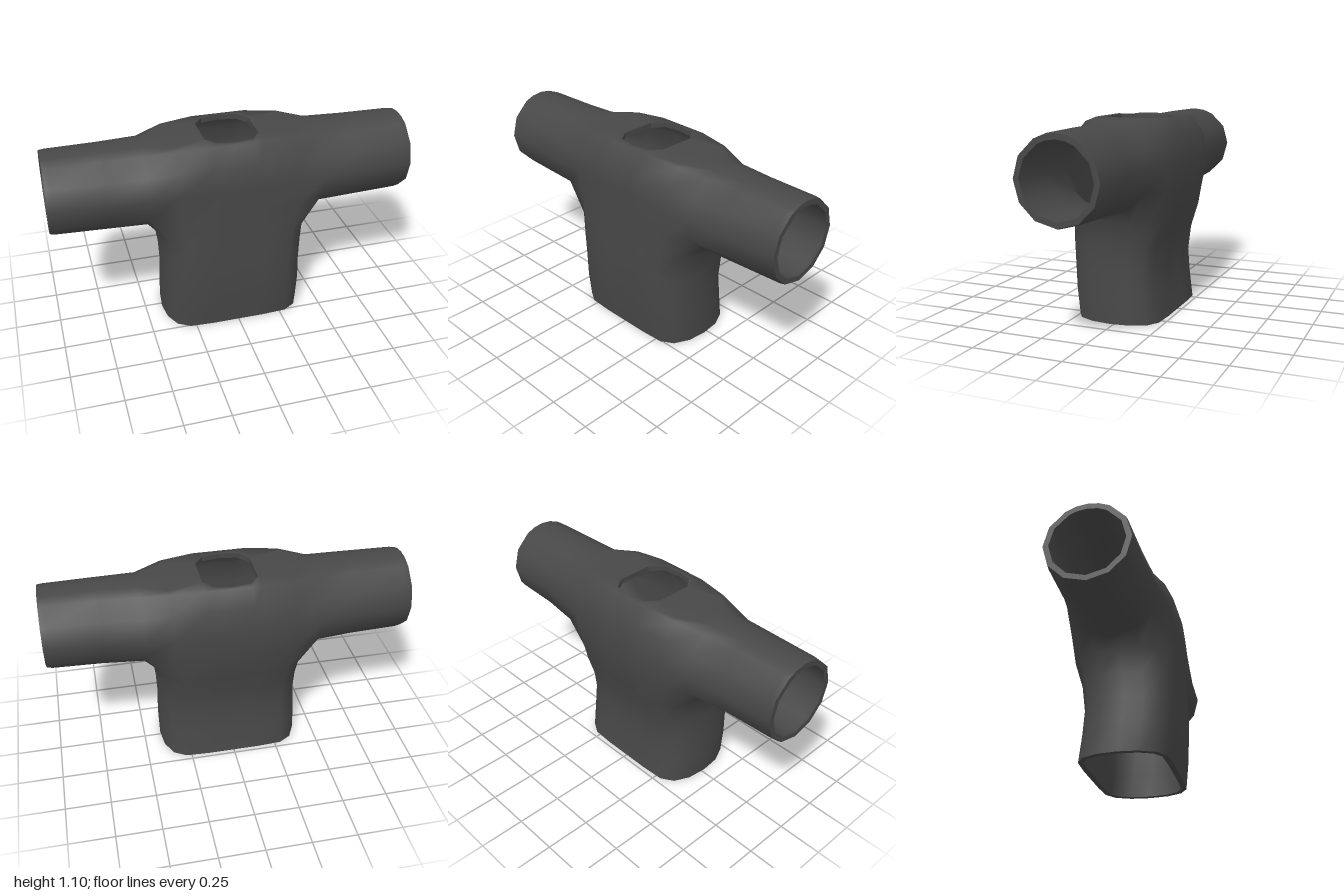
import * as THREE from 'three';
import { mergeVertices } from 'three/addons/utils/BufferGeometryUtils.js';

const THICKNESS = 0.03;
const COLUMNS = [-1, -0.97, -0.7, -0.48, -0.33, -0.15, -0.1, 0, 0.1, 0.15, 0.33, 0.48, 0.7, 0.97, 1];
const BODY_FIRST = 3, BODY_LAST = 11; // columns where the sleeves meet the body
// angles around a sleeve: front underarm, over the top, back underarm, underside
const ANGLES = [-30, 0, 30, 60, 75, 90, 105, 120, 150, 180, 210, 240, 270, 300];
const OVER = 10; // last row of the part that runs over the shoulders

// sleeve sections: bottom, top, front z, back z
const SLEEVE = {
  1: [0.64, 1.083, 0.24, -0.21],
  0.97: [0.633, 1.087, 0.243, -0.213],
  0.7: [0.625, 1.09, 0.252, -0.22],
  0.48: [0.62, 1.09, 0.27, -0.25],
};
// shoulder section through the middle, [z, y] for each row up to OVER
const MIDDLE = [[0.288, 0.71], [0.286, 0.87], [0.284, 1.0], [0.21, 1.098], [0.18, 1.097], [0, 1.097],
  [-0.18, 1.097], [-0.2, 1.098], [-0.265, 1.01], [-0.29, 0.86], [-0.275, 0.7]];
const BLEND = { 0.33: 0.7, 0.15: 1, 0.1: 1, 0: 1 };
const NECK_Z = { 0.15: 0.1, 0.1: 0.165, 0: 0.18 };

// torso sections from the hem up: y, half width, front z, back z
const TORSO = [[0, 0.405, 0.265, -0.225], [0.15, 0.408, 0.28, -0.205], [0.29, 0.402, 0.288, -0.195],
  [0.43, 0.408, 0.292, -0.21], [0.57, 0.425, 0.288, -0.25]];
// outline of a torso section, as fractions of its half width and half depth
const FRONT = [[-0.87, 0.8], [-0.7, 0.97], [-0.37, 1], [-0.25, 1], [0, 1], [0.25, 1], [0.37, 1], [0.7, 0.97], [0.87, 0.8]];
const SIDE = [[0.97, 0.45], [1, 0], [0.97, -0.45]];
const OUTLINE = [
  ...FRONT, ...SIDE,
  ...FRONT.map(([x, z]) => [-x, -z]),
  ...SIDE.map(([x, z]) => [-x, -z]),
];

function sleevePoint(x, row) {
  const [bottom, top, front, back] = SLEEVE[Math.abs(x)];
  const a = THREE.MathUtils.degToRad(ANGLES[row % ANGLES.length]);
  return new THREE.Vector3(x,
    (top + bottom) / 2 + Math.sin(a) * (top - bottom) / 2,
    (front + back) / 2 + Math.cos(a) * (front - back) / 2);
}

function shoulderPoint(col, row) {
  const x = COLUMNS[col], ax = Math.abs(x);
  if (ax >= 0.48) return sleevePoint(x, row);
  const p = sleevePoint(0.48, row).setX(x);
  p.lerp(new THREE.Vector3(x, MIDDLE[row][1], MIDDLE[row][0]), BLEND[ax]);
  // round the neck opening
  if (ax in NECK_Z && (row === 4 || row === 6)) p.z = Math.sign(5 - row) * NECK_Z[ax];
  return p;
}

function torsoRing([y, w, front, back]) {
  return OUTLINE.map(([x, z]) => new THREE.Vector3(x * w, y, (front + back) / 2 + z * (front - back) / 2));
}

// ring where the torso meets the shoulders and the undersides of the sleeves
function underarmRing() {
  const ring = [];
  for (let c = BODY_FIRST; c <= BODY_LAST; c++) ring.push(shoulderPoint(c, 0));
  for (const r of [13, 12, 11]) ring.push(sleevePoint(0.48, r));
  for (let c = BODY_LAST; c >= BODY_FIRST; c--) ring.push(shoulderPoint(c, OVER));
  for (const r of [11, 12, 13]) ring.push(sleevePoint(-0.48, r));
  return ring;
}

function outerGeometry() {
  const positions = [];
  const quad = (a, b, c, d) => [a, b, c, a, c, d].forEach((p) => positions.push(p.x, p.y, p.z));

  // sleeves and shoulders
  for (let c = 0; c < COLUMNS.length - 1; c++) {
    const body = c >= BODY_FIRST && c < BODY_LAST;
    const rows = body ? OVER : ANGLES.length;
    for (let r = 0; r < rows; r++) {
      const neck = c >= 5 && c < 9 && (r === 4 || r === 5);
      if (neck) continue;
      quad(shoulderPoint(c, r), shoulderPoint(c + 1, r), shoulderPoint(c + 1, r + 1), shoulderPoint(c, r + 1));
    }
  }
  // torso
  const rings = [...TORSO.map(torsoRing), underarmRing()];
  for (let i = 0; i < rings.length - 1; i++) {
    const low = rings[i], high = rings[i + 1], n = low.length;
    for (let k = 0; k < n; k++) quad(low[k], low[(k + 1) % n], high[(k + 1) % n], high[k]);
  }
  const geometry = new THREE.BufferGeometry();
  geometry.setAttribute('position', new THREE.Float32BufferAttribute(positions, 3));
  const merged = mergeVertices(geometry, 1e-4);
  merged.computeVertexNormals();
  return merged;
}

// inside of the cloth: the outer skin moved inwards and turned over
function liningGeometry(outer) {
  const lining = outer.clone();
  const p = lining.attributes.position, n = outer.attributes.normal;
  for (let i = 0; i < p.count; i++) {
    p.setXYZ(i,
      // keep the open ends flat
      Math.abs(p.getX(i)) > 0.99 ? p.getX(i) : p.getX(i) - n.getX(i) * THICKNESS,
      p.getY(i) < 0.001 ? 0 : p.getY(i) - n.getY(i) * THICKNESS,
      p.getZ(i) - n.getZ(i) * THICKNESS);
  }
  const index = lining.index.array;
  for (let i = 0; i < index.length; i += 3) [index[i + 1], index[i + 2]] = [index[i + 2], index[i + 1]];
  lining.computeVertexNormals();
  return lining;
}

// strips that close the cloth edge at each opening
function edgeGeometries(outer, lining) {
  const index = outer.index.array, edges = new Set();
  for (let i = 0; i < index.length; i += 3) {
    for (let k = 0; k < 3; k++) edges.add(index[i + k] + '_' + index[i + (k + 1) % 3]);
  }
  const strips = { hem: [], leftCuff: [], rightCuff: [], collar: [] };
  const at = (g, i) => new THREE.Vector3().fromBufferAttribute(g.attributes.position, i);
  for (const edge of edges) {
    const [a, b] = edge.split('_').map(Number);
    if (edges.has(b + '_' + a)) continue;
    const pa = at(outer, a), pb = at(outer, b), ia = at(lining, a), ib = at(lining, b);
    const name = pa.y < 0.1 ? 'hem' : pa.x > 0.9 ? 'leftCuff' : pa.x < -0.9 ? 'rightCuff' : 'collar';
    for (const p of [pb, pa, ia, pb, ia, ib]) strips[name].push(p.x, p.y, p.z);
  }
  return Object.entries(strips).map(([name, points]) => {
    const geometry = new THREE.BufferGeometry();
    geometry.setAttribute('position', new THREE.Float32BufferAttribute(points, 3));
    geometry.computeVertexNormals();
    return [name, geometry];
  });
}

export function createModel() {
  const cloth = new THREE.MeshStandardMaterial({ color: 0x484848 });
  cloth.name = 'charcoal cloth';
  const group = new THREE.Group();
  group.name = 'shirt';
  const add = (name, geometry) => {
    const mesh = new THREE.Mesh(geometry, cloth);
    mesh.name = name;
    group.add(mesh);
  };
  const outer = outerGeometry();
  const lining = liningGeometry(outer);
  add('shirtBody', outer);
  add('lining', lining);
  for (const [name, geometry] of edgeGeometries(outer, lining)) add(name, geometry);
  return group;
}
